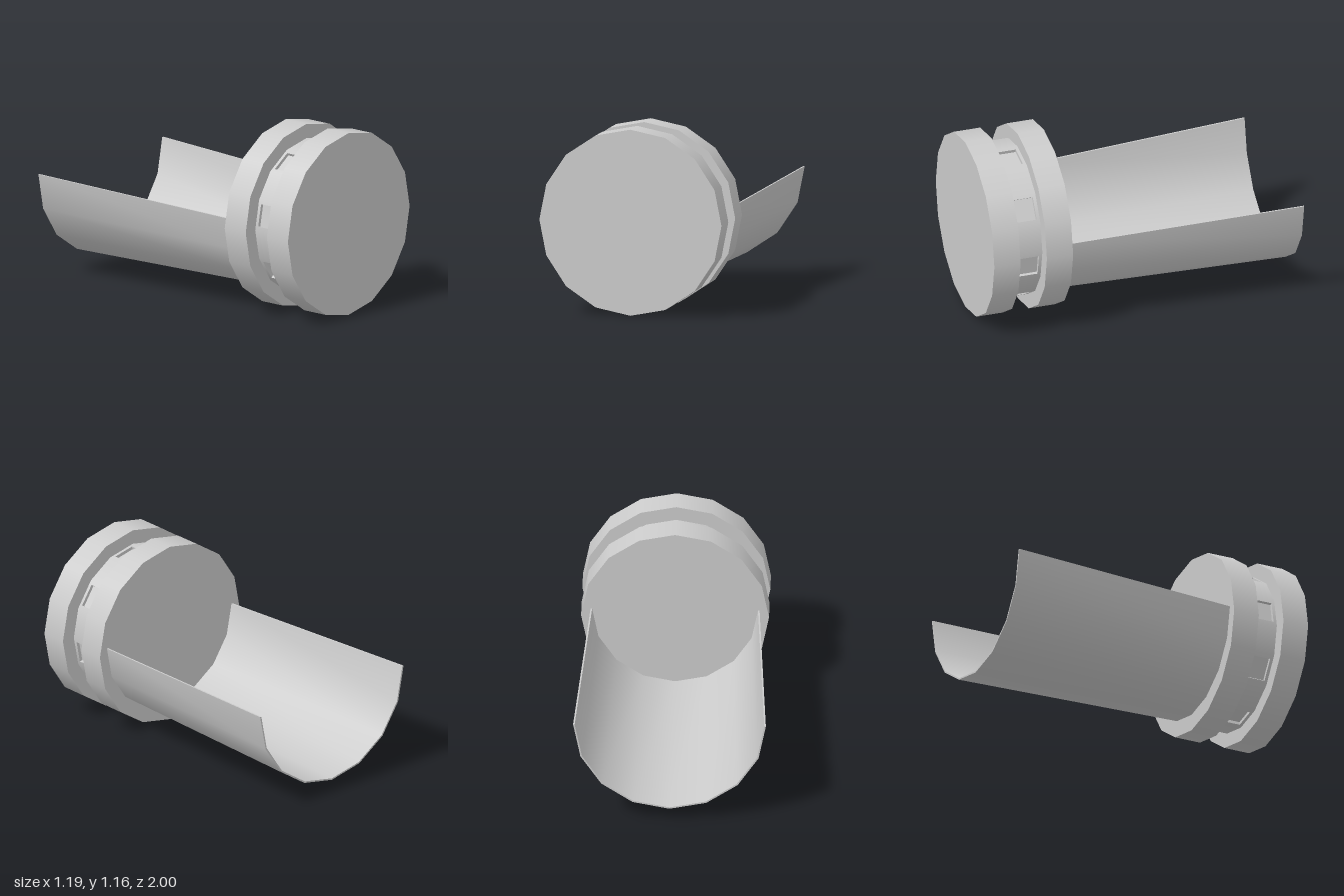
import * as THREE from 'three';
import { mergeGeometries } from 'three/addons/utils/BufferGeometryUtils.js';

const SIDES = 16, AXIS_Y = 0.578;
const grey = new THREE.MeshStandardMaterial({ color: 0xcccccc });
const greyFlat = new THREE.MeshStandardMaterial({ color: 0xcccccc, flatShading: true });

// 16-sided disc lying along z between two planes
function disc(name, radius, z0, z1, material) {
  const geo = new THREE.CylinderGeometry(radius, radius, z1 - z0, SIDES);
  geo.rotateX(Math.PI / 2);
  const mesh = new THREE.Mesh(geo, material);
  mesh.name = name;
  mesh.position.set(0, AXIS_Y, (z0 + z1) / 2);
  return mesh;
}

function rect(target, w, h) {
  return target.moveTo(-w / 2, -h / 2).lineTo(w / 2, -h / 2)
    .lineTo(w / 2, h / 2).lineTo(-w / 2, h / 2).closePath();
}

// one facet of the groove wall, optionally pierced by a rectangular pocket
function facet(radius, depth, length, pocket) {
  const shape = rect(new THREE.Shape(), 2 * radius * Math.sin(Math.PI / SIDES), length);
  if (pocket) shape.holes.push(rect(new THREE.Path(), 0.14, 0.13));
  const geo = new THREE.ExtrudeGeometry(shape, { depth, bevelEnabled: false });
  const floor = radius * Math.cos(Math.PI / SIDES) - depth;
  const pos = geo.attributes.position, nor = geo.attributes.normal;
  const n = new THREE.Vector3();
  // outer face shades smoothly around the axis
  for (let i = 0; i < pos.count; i++) {
    if (nor.getZ(i) < 0.9) continue;
    n.set(pos.getX(i), 0, floor + depth).normalize();
    nor.setXYZ(i, n.x, n.y, n.z);
  }
  return geo.translate(0, 0, floor);
}

// surface between two matching rows of points
function strip(a, b) {
  const index = [];
  for (let i = 0; i < a.length - 1; i++) {
    const j = a.length + i;
    index.push(i, i + 1, j + 1, i, j + 1, j);
  }
  const geo = new THREE.BufferGeometry().setFromPoints([...a, ...b]);
  geo.setIndex(index);
  geo.computeVertexNormals();
  return geo;
}

// lower half circle, from -x through the bottom to +x
function halfArc(radius, y, z) {
  return Array.from({ length: 9 }, (_, i) => {
    const t = Math.PI + (i * Math.PI) / 8;
    return new THREE.Vector3(radius * Math.cos(t), y + radius * Math.sin(t), z);
  });
}

export function createModel() {
  const model = new THREE.Group();
  model.name = 'model';

  // two collars with a narrower groove between them
  model.add(disc('frontCollar', AXIS_Y, 0.83, 1, grey));
  model.add(disc('rearCollar', AXIS_Y, 0.49, 0.66, grey));

  const coreRadius = 0.488, pocketDepth = 0.02;
  const floorRadius = coreRadius - pocketDepth / Math.cos(Math.PI / SIDES);
  model.add(disc('grooveCore', floorRadius, 0.66, 0.83, greyFlat));

  // groove wall, with a pocket in every other facet
  const facets = [];
  for (let i = 0; i < SIDES; i++) {
    const t = ((i + 0.5) * 2 * Math.PI) / SIDES;
    const c = Math.cos(t), s = Math.sin(t);
    const m = new THREE.Matrix4().makeBasis(
      new THREE.Vector3(-s, c, 0), new THREE.Vector3(0, 0, 1), new THREE.Vector3(c, s, 0));
    facets.push(facet(coreRadius, pocketDepth, 0.17, i % 2 === 1).applyMatrix4(m));
  }
  const wall = new THREE.Mesh(mergeGeometries(facets), grey);
  wall.name = 'pocketedGrooveWall';
  wall.position.set(0, AXIS_Y, 0.745);
  model.add(wall);

  // flared half-round trough with a thin wall
  const thick = 0.01;
  const outB = halfArc(0.593, 0.67, -1), outF = halfArc(0.52, 0.625, 0.49);
  const inB = halfArc(0.593 - thick, 0.67, -1), inF = halfArc(0.52 - thick, 0.625, 0.49);
  const rev = (p) => [...p].reverse();
  const trough = new THREE.Mesh(mergeGeometries([
    strip(outB, outF),
    strip(rev(inB), rev(inF)),
    strip([outB[8], inB[8]], [outF[8], inF[8]]),
    strip([inB[0], outB[0]], [inF[0], outF[0]]),
    strip(inB, outB),
  ]), grey);
  trough.name = 'trough';
  model.add(trough);

  return model;
}
